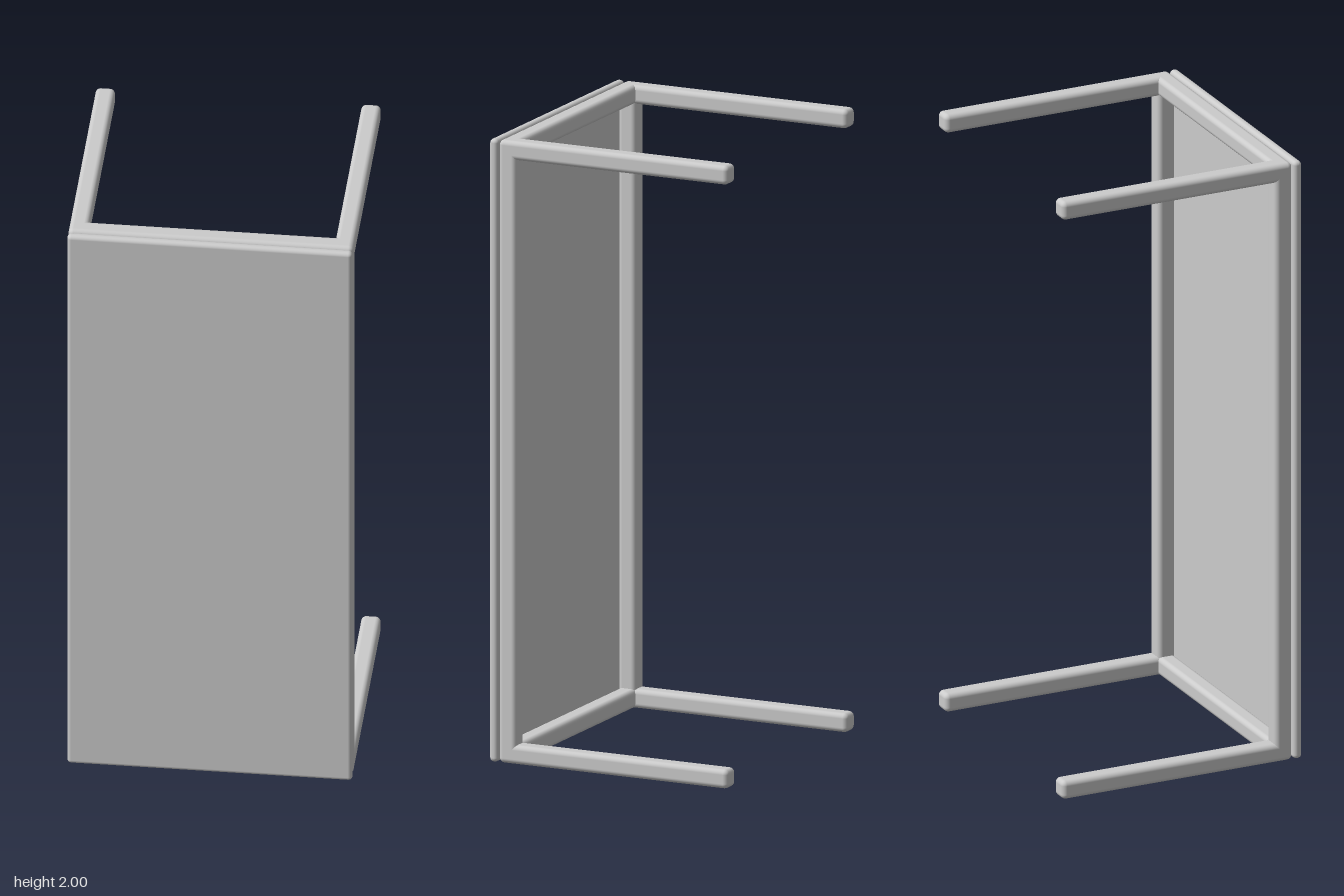
import * as THREE from 'three';
import { RoundedBoxGeometry } from 'three/addons/geometries/RoundedBoxGeometry.js';

const WIDTH = 0.895, HEIGHT = 2, BAR = 0.061;
const FRONT = 0.415, BACK = -0.417; // z extents
const PANEL = 0.029, GAP = 0.004;

export function createModel() {
  const group = new THREE.Group();
  const material = new THREE.MeshStandardMaterial({ color: 0xcccccc });

  function addBox(name, size, position, radius) {
    const mesh = new THREE.Mesh(new RoundedBoxGeometry(...size, 3, radius), material);
    mesh.name = name;
    mesh.position.set(...position);
    group.add(mesh);
  }

  // Thin upright top panel
  addBox('topPanel', [WIDTH, HEIGHT, PANEL], [0, HEIGHT / 2, FRONT - PANEL / 2], 0.013);

  // Frame just behind the panel, with a leg running back from each corner
  const frameFront = FRONT - PANEL - GAP;
  const frameZ = frameFront - BAR / 2;
  const legLength = frameFront - BACK;
  const sideX = (WIDTH - BAR) / 2;
  const r = 0.016;

  for (const [side, sx] of [['left', 1], ['right', -1]]) {
    addBox(side + 'Rail', [BAR, HEIGHT, BAR], [sx * sideX, HEIGHT / 2, frameZ], r);
  }
  for (const [end, y] of [['lower', BAR / 2], ['upper', HEIGHT - BAR / 2]]) {
    addBox(end + 'Rail', [WIDTH, BAR, BAR], [0, y, frameZ], r);
    for (const [side, sx] of [['Left', 1], ['Right', -1]]) {
      addBox(end + side + 'Leg', [BAR, BAR, legLength],
        [sx * sideX, y, (frameFront + BACK) / 2], r);
    }
  }
  return group;
}
